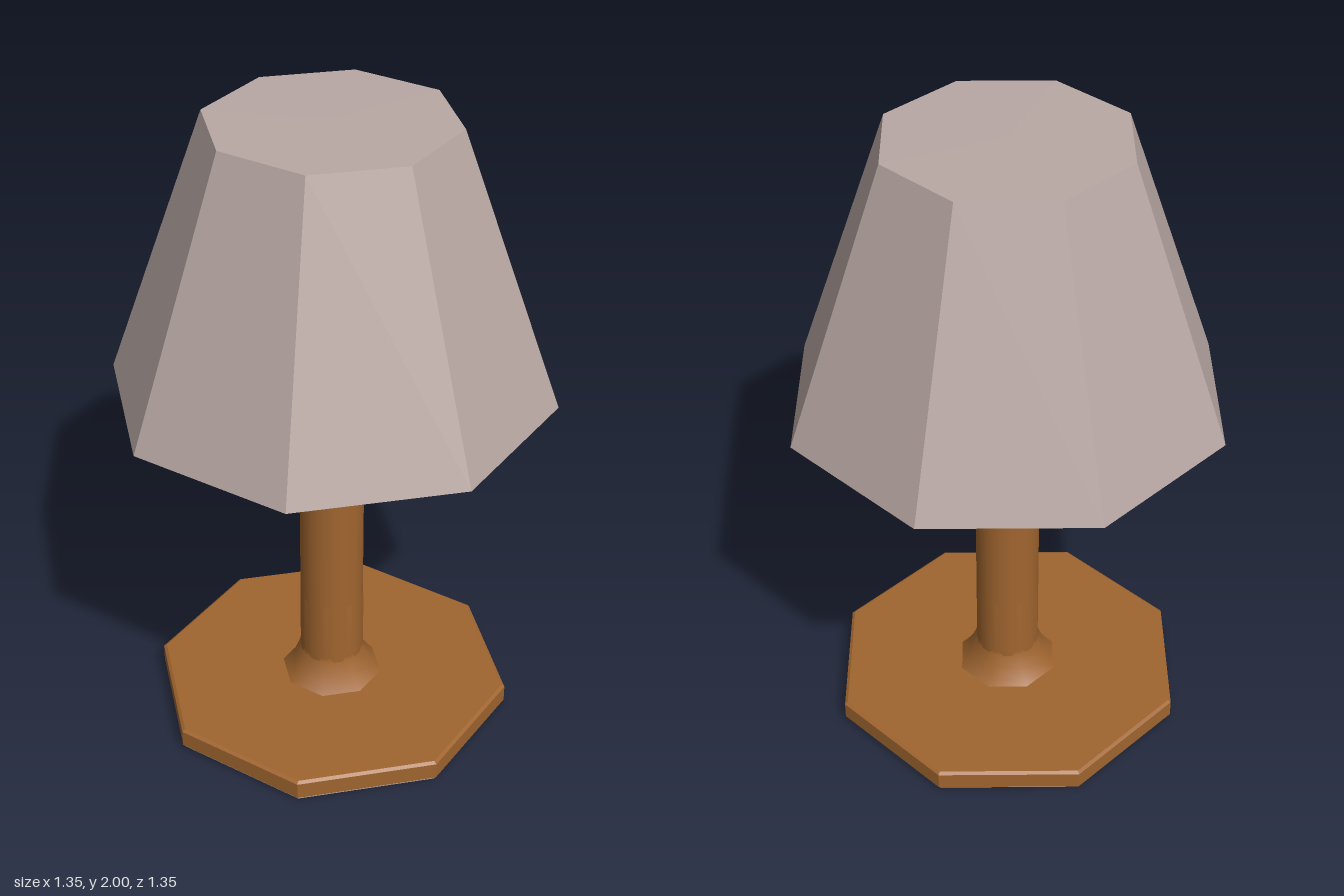
import * as THREE from 'three';

const wood = new THREE.MeshStandardMaterial({ color: 0xa0652f });
wood.name = 'wood';
const fabric = new THREE.MeshStandardMaterial({ color: 0xb9a8a4 });
fabric.name = 'fabric';

// Turned part from [radius, height] pairs, listed so the outside faces out
function turned(name, profile, sides, material, faceted = true) {
  const points = profile.map(([r, y]) => new THREE.Vector2(r, y));
  let geometry = new THREE.LatheGeometry(points, sides);
  if (faceted) {
    geometry = geometry.toNonIndexed();
    geometry.computeVertexNormals();
  }
  const mesh = new THREE.Mesh(geometry, material);
  mesh.name = name;
  return mesh;
}

export function createModel() {
  const lamp = new THREE.Group();
  lamp.name = 'tableLamp';

  // Octagonal foot with a fine bevel, and a felt pad beneath it
  lamp.add(turned('base', [
    [0.56, 0.004], [0.57, 0.012], [0.57, 0.066], [0.56, 0.073], [0, 0.073],
  ], 8, wood));
  lamp.add(turned('basePad', [[0, 0], [0.56, 0], [0.56, 0.004]], 8, fabric));

  // Flared octagonal collar running up into a neck around the column
  lamp.add(turned('collar', [
    [0.162, 0.073], [0.148, 0.088], [0.122, 0.125], [0.106, 0.165], [0.103, 0.18],
    [0.103, 0.38], [0.09, 0.38],
  ], 8, wood, false));

  // Round column up to the inside of the shade
  lamp.add(turned('column', [[0.1, 0.07], [0.1, 1.96]], 24, wood, false));

  // Hollow faceted shade: ceiling, inner wall, rim, outer wall, closed top
  lamp.add(turned('shade', [
    [0, 1.95], [0.335, 1.95], [0.622, 1.145], [0.675, 1.145], [0.37, 1.997], [0, 2],
  ], 8, fabric));

  return lamp;
}
